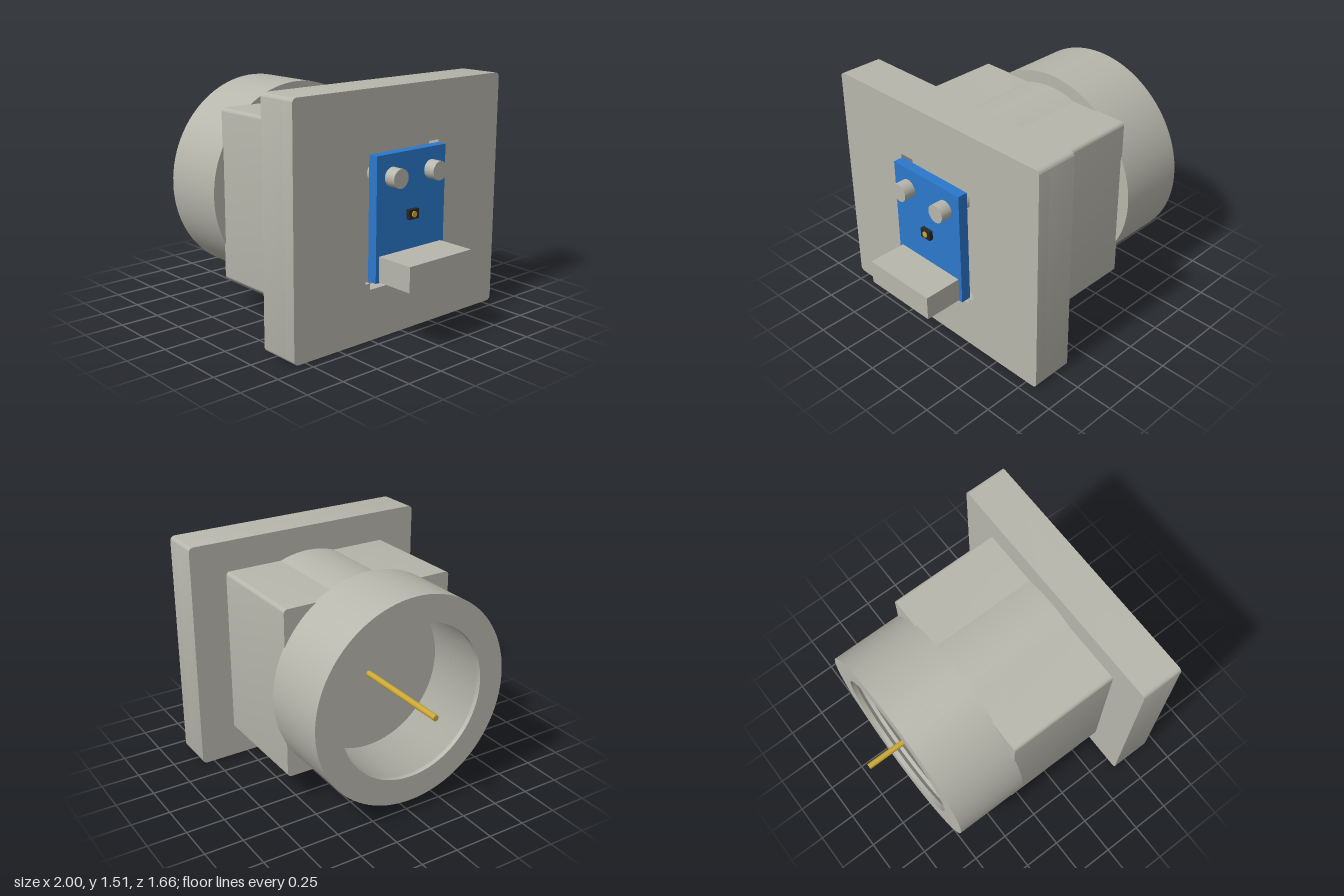
import * as THREE from 'three';
import { toCreasedNormals } from 'three/addons/utils/BufferGeometryUtils.js';

const AXIS_Y = 0.755;

function material(name, color) {
  const m = new THREE.MeshStandardMaterial({ color });
  m.name = name;
  return m;
}

// Rectangle with rounded corners, in the plane across the x axis
function roundedRect(halfWidth, y0, y1, r) {
  const s = new THREE.Shape();
  s.moveTo(-halfWidth + r, y0);
  s.absarc(halfWidth - r, y0 + r, r, -Math.PI / 2, 0);
  s.absarc(halfWidth - r, y1 - r, r, 0, Math.PI / 2);
  s.absarc(-halfWidth + r, y1 - r, r, Math.PI / 2, Math.PI);
  s.absarc(-halfWidth + r, y0 + r, r, Math.PI, Math.PI * 1.5);
  return s;
}

// Extrude a shape from x0 to x1
function prism(shape, x0, x1) {
  const g = new THREE.ExtrudeGeometry(shape, { depth: x1 - x0, bevelEnabled: false, curveSegments: 6 });
  return toCreasedNormals(g.rotateY(Math.PI / 2).translate(x0, 0, 0), 0.6);
}

function block(x0, x1, y0, y1, halfWidth) {
  return new THREE.BoxGeometry(x1 - x0, y1 - y0, halfWidth * 2)
    .translate((x0 + x1) / 2, (y0 + y1) / 2, 0);
}

function rod(x0, x1, r, y, z, sides) {
  return new THREE.CylinderGeometry(r, r, x1 - x0, sides)
    .rotateZ(Math.PI / 2).translate((x0 + x1) / 2, y, z);
}

export function createModel() {
  const group = new THREE.Group();
  const grey = material('warm grey', 0xb7b6ac);
  const blue = material('board blue', 0x2b78cc);
  const black = material('black plastic', 0x262626);
  const gold = material('gold', 0xc9a632);

  const add = (name, geometry, mat) => {
    const mesh = new THREE.Mesh(geometry, mat);
    mesh.name = name;
    group.add(mesh);
  };

  // Collar with a threaded bore, turned around the x axis
  const back = 0.31, rim = 0.785, bore = 0.5, turns = 10;
  const profile = [[0.67, back], [0.67, rim], [bore, rim]];
  const pitch = (rim - back - 0.03) / turns;
  for (let i = 0; i < turns; i++) {
    const y = rim - 0.03 - i * pitch;
    profile.push([bore, y], [bore + 0.028, y - pitch / 2]);
  }
  profile.push([bore, back], [0.67, back]);
  const collar = new THREE.LatheGeometry(profile.map(([r, y]) => new THREE.Vector2(r, y)), 96);
  collar.rotateZ(Math.PI / 2).translate(0, AXIS_Y, 0);
  add('threadedCollar', toCreasedNormals(collar, 0.4), grey);

  // Body: a block crossed by a slightly taller barrel
  add('bodyBlock', prism(roundedRect(0.59, 0.2, 1.31, 0.025), -0.32, 0.41), grey);
  add('bodyBarrel', rod(-0.31, 0.41, 0.59, AXIS_Y, 0, 96), grey);

  // Flange: solid plate behind a front layer with the board recess
  add('flangeBack', prism(roundedRect(0.83, 0, 1.51, 0.03), 0.405, 0.6), grey);
  const front = roundedRect(0.83, 0, 1.51, 0.03);
  front.holes.push(new THREE.Path([
    [-0.295, 1.15], [0.295, 1.15], [0.295, 0.36], [0.26, 0.36],
    [0.26, 0.32], [-0.26, 0.32], [-0.26, 0.36], [-0.295, 0.36],
  ].map(([x, y]) => new THREE.Vector2(x, y))));
  add('flangeFront', prism(front, 0.6, 0.68), grey);

  // Circuit board and its parts
  add('circuitBoard', block(0.685, 0.75, 0.38, 1.135, 0.28), blue);
  add('connector', block(0.75, 1.0, 0.385, 0.54, 0.255), grey);
  for (const side of [-1, 1]) {
    add('mountingPost', rod(0.6, 0.825, 0.058, 1.0, side * 0.16, 32), grey);
  }
  add('pinHousing', block(0.6, 0.776, 0.725, 0.785, 0.039), black);

  // Probe running along the axis through the bore, body and board
  add('probe', rod(-1, 0.782, 0.019, AXIS_Y, 0, 24), gold);

  return group;
}
